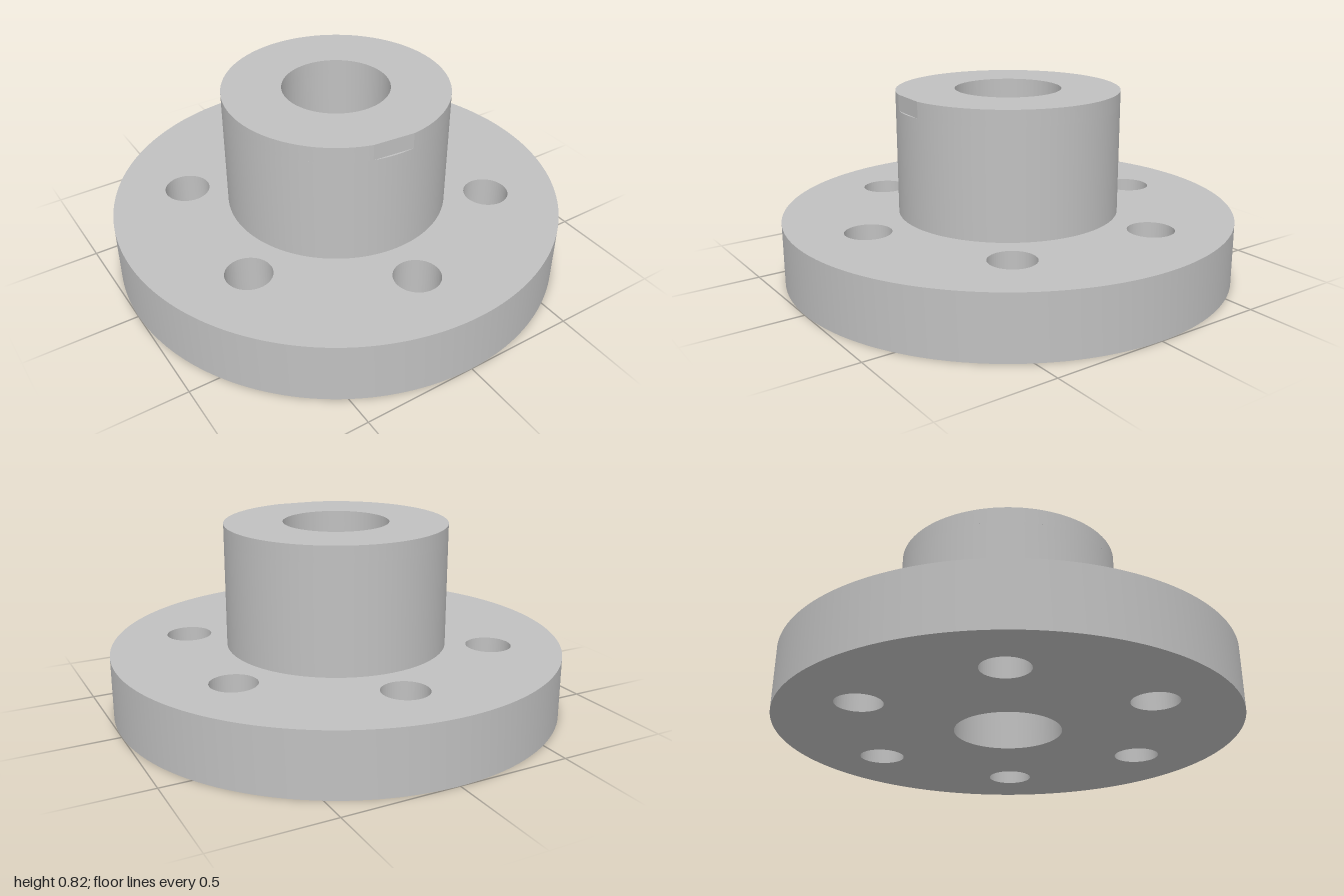
import * as THREE from 'three';
import { toCreasedNormals } from 'three/addons/utils/BufferGeometryUtils.js';

const BORE = 0.233, HUB = 0.49, HUB_TOP = 0.82, FLANGE_TOP = 0.275, NOTCH_Y = 0.75;
const rad = THREE.MathUtils.degToRad;

// Outline running from angle a to angle b, closed by a chord if not a full turn
function disc(radius, a = 0, b = 360) {
  const shape = new THREE.Shape();
  shape.absarc(0, 0, radius, rad(a), rad(b), false);
  return shape;
}

function addHole(shape, x, y, radius) {
  const hole = new THREE.Path();
  hole.absarc(x, y, radius, 0, Math.PI * 2, true);
  shape.holes.push(hole);
}

// Upright extrusion between two heights, smooth around the curves
function upright(name, shape, y0, y1, material) {
  const geo = new THREE.ExtrudeGeometry(shape, { depth: y1 - y0, bevelEnabled: false, curveSegments: 96 });
  geo.rotateX(-Math.PI / 2);
  geo.translate(0, y0, 0);
  const mesh = new THREE.Mesh(toCreasedNormals(geo, 0.12), material);
  mesh.name = name;
  return mesh;
}

export function createModel() {
  const metal = new THREE.MeshStandardMaterial({ color: 0xc0c0c0 });
  metal.name = 'greyMetal';
  const group = new THREE.Group();
  group.name = 'flangedHub';

  // Flange plate with centre bore and six bolt holes
  const plate = disc(1);
  addHole(plate, 0, 0, BORE);
  for (let i = 0; i < 6; i++) {
    const a = rad(26 + i * 60);
    addHole(plate, 0.682 * Math.cos(a), 0.682 * Math.sin(a), 0.1);
  }
  group.add(upright('flange', plate, 0, FLANGE_TOP, metal));

  // Main hub
  const hub = disc(HUB);
  addHole(hub, 0, 0, BORE);
  group.add(upright('hub', hub, FLANGE_TOP, NOTCH_Y, metal));

  // Hub rim, with a shallow flat on the front
  const rim = disc(HUB, 276, 614.5);
  addHole(rim, 0, 0, BORE);
  group.add(upright('hubRim', rim, NOTCH_Y, HUB_TOP, metal));

  return group;
}
